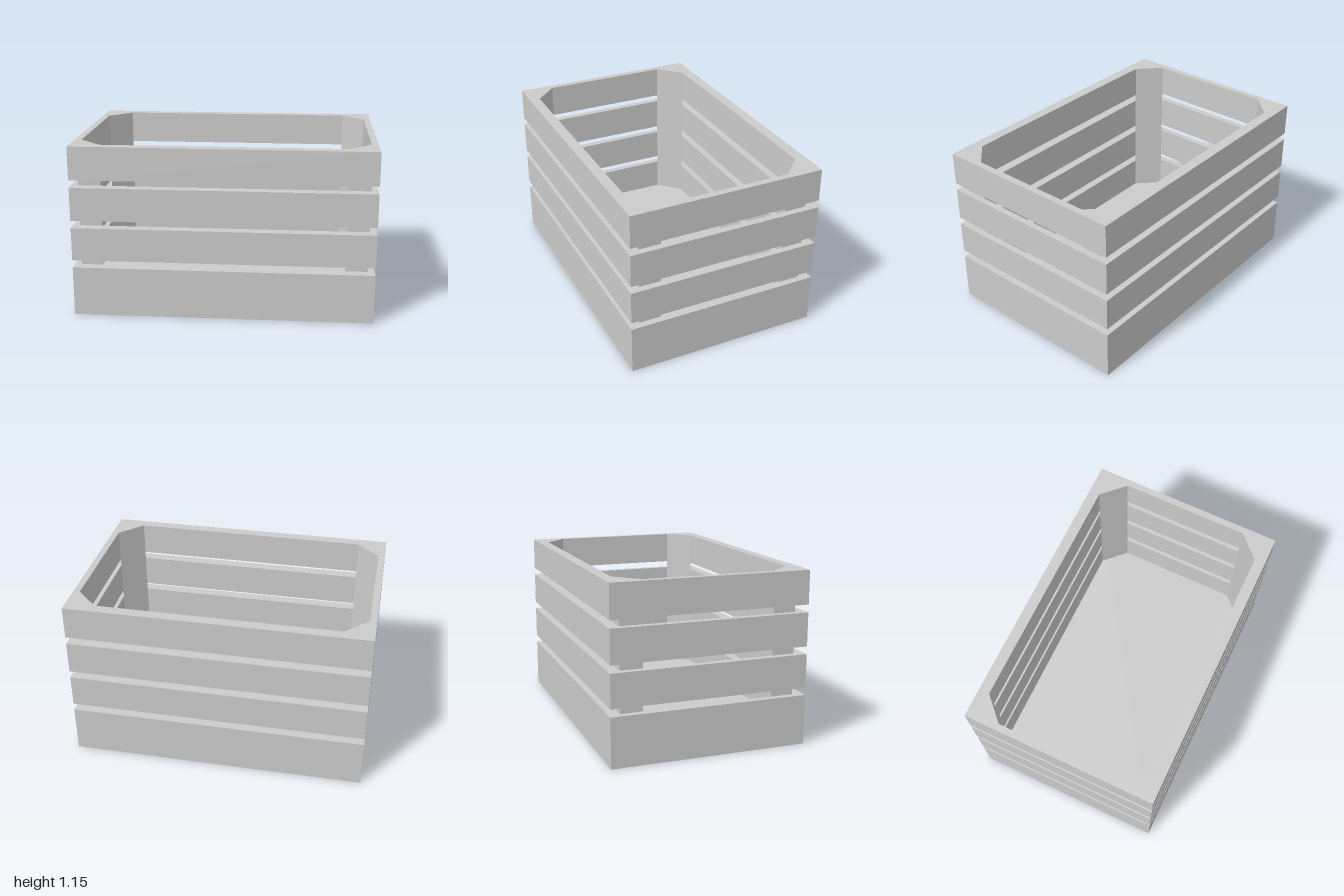
import * as THREE from 'three';

const W = 2, D = 1.32, H = 1.155;      // overall size
const BASE = 0.11, SLAT = 0.223;       // base thickness, slat height
const SIDE_T = 0.045, LONG_T = 0.073;  // slat thicknesses
const POST = 0.15;                     // leg of the triangular corner post
const ROWS = 4;

export function createModel() {
  const crate = new THREE.Group();
  crate.name = 'slattedCrate';
  const material = new THREE.MeshStandardMaterial({ color: 0xcccccc, flatShading: true });

  const add = (name, geometry, x, y, z) => {
    const mesh = new THREE.Mesh(geometry, material);
    mesh.name = name;
    mesh.position.set(x, y, z);
    crate.add(mesh);
    return mesh;
  };

  // solid base board
  add('base', new THREE.BoxGeometry(W, BASE, D), 0, BASE / 2, 0);

  // four rows of slats; the side slats cover the ends of the long ones
  const sideSlat = new THREE.BoxGeometry(SIDE_T, SLAT, D);
  const longSlat = new THREE.BoxGeometry(W - 2 * SIDE_T, SLAT, LONG_T);
  const pitch = (H - BASE - SLAT) / (ROWS - 1);
  for (let i = 0; i < ROWS; i++) {
    const y = BASE + SLAT / 2 + i * pitch;
    for (const s of [1, -1]) {
      add(s > 0 ? 'leftSlat' : 'rightSlat', sideSlat, s * (W - SIDE_T) / 2, y, 0);
      add(s > 0 ? 'frontSlat' : 'backSlat', longSlat, 0, y, s * (D - LONG_T) / 2);
    }
  }

  // triangular posts in the inner corners, extruded upwards
  const innerX = W / 2 - SIDE_T, innerZ = D / 2 - LONG_T;
  for (const sx of [1, -1]) {
    for (const sz of [1, -1]) {
      const shape = new THREE.Shape([
        new THREE.Vector2(sx * innerX, -sz * innerZ),
        new THREE.Vector2(sx * (innerX - POST), -sz * innerZ),
        new THREE.Vector2(sx * innerX, -sz * (innerZ - POST)),
      ]);
      const post = new THREE.ExtrudeGeometry(shape, { depth: H - BASE, bevelEnabled: false });
      post.rotateX(-Math.PI / 2);
      add('cornerPost', post, 0, BASE, 0);
    }
  }
  return crate;
}
